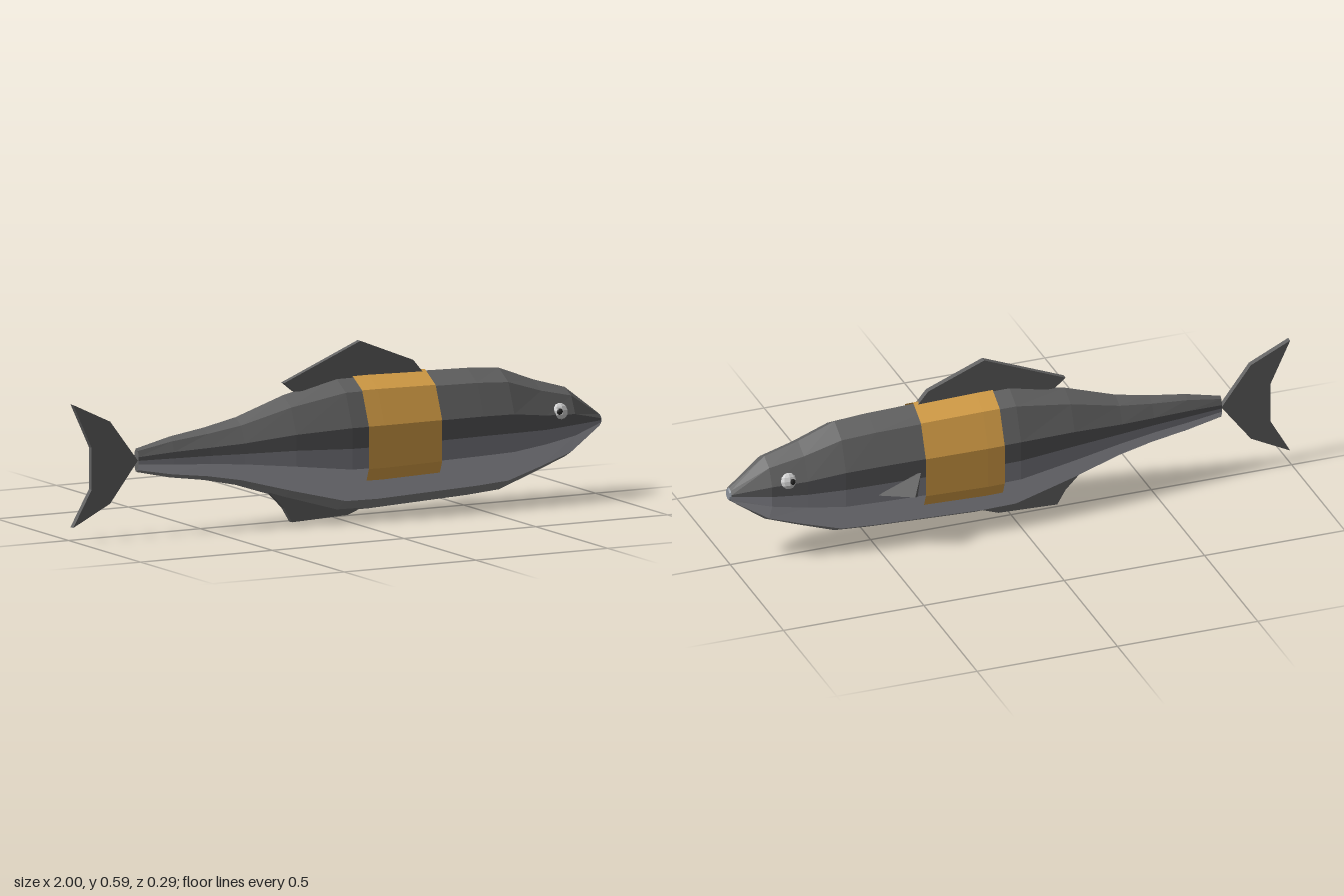
import * as THREE from 'three';
import { ConvexGeometry } from 'three/addons/geometries/ConvexGeometry.js';

const MID_Z = 0.023;
// body stations: x, top, bottom, half width
const STATIONS = [
  [-0.755, 0.295, 0.215, 0.016], [-0.63, 0.325, 0.187, 0.033], [-0.5, 0.345, 0.168, 0.05],
  [-0.38, 0.37, 0.142, 0.068], [-0.2, 0.43, 0.083, 0.096], [0, 0.476, 0.024, 0.118],
  [0.12, 0.476, 0.022, 0.119], [0.5, 0.467, 0.038, 0.113], [0.62, 0.458, 0.047, 0.109],
  [0.75, 0.408, 0.093, 0.092], [0.87, 0.373, 0.138, 0.074], [0.995, 0.277, 0.23, 0.023],
];

// ten-sided oval, with an extra point halfway down each flank
const ANGLES = [0, 36, 72, 90, 108, 144, 180, 216, 252, 270, 288, 324];

function stationAt(x) {
  const i = Math.max(1, STATIONS.findIndex(s => s[0] >= x));
  const a = STATIONS[i - 1], b = STATIONS[i], t = (x - a[0]) / (b[0] - a[0]);
  return a.map((v, k) => v + (b[k] - v) * t);
}

function ring([x, top, bottom, half], grow = 0) {
  const cy = (top + bottom) / 2, ry = (top - bottom) / 2 + grow;
  return ANGLES.map(deg => {
    const a = THREE.MathUtils.degToRad(deg);
    const s = deg % 180 === 90 ? Math.sin(a) * Math.sin(0.4 * Math.PI) : Math.sin(a);
    return new THREE.Vector3(x, cy + ry * Math.cos(a), MID_Z + (half / 0.951 + grow) * s);
  });
}

// joins two rows of points with outward-facing quads
function strip(rows, columns) {
  const pos = [];
  for (let s = 0; s < rows.length - 1; s++) {
    for (const [i, j] of columns) {
      const a = rows[s][i], b = rows[s + 1][i], c = rows[s + 1][j], d = rows[s][j];
      for (const p of [d, c, b, d, b, a]) pos.push(p.x, p.y, p.z);
    }
  }
  const g = new THREE.BufferGeometry();
  g.setAttribute('position', new THREE.Float32BufferAttribute(pos, 3));
  g.computeVertexNormals();
  return g;
}

export function createModel() {
  const group = new THREE.Group();
  const material = (name, color) => {
    const m = new THREE.MeshStandardMaterial({ color, flatShading: true, side: THREE.DoubleSide });
    m.name = name;
    return m;
  };
  const back = material('back grey', 0x636363);
  const flank = material('dark flank grey', 0x565658);
  const side = material('mid side grey', 0x7c7c83);
  const belly = material('pale belly grey', 0xb8b8c0);
  const keel = material('underside grey', 0x888888);
  const orange = material('orange band', 0xd8a047);
  const fin = material('fin grey', 0x626262);
  const nose = material('nose grey', 0x8a9098);
  const white = material('eye white', 0xd0d0d0);
  const dark = material('pupil dark', 0x2a2a2a);

  const add = (name, geometry, mat, x = 0, y = 0, z = 0) => {
    const mesh = new THREE.Mesh(geometry, mat);
    mesh.name = name;
    mesh.position.set(x, y, z);
    group.add(mesh);
    return mesh;
  };

  // body, divided lengthwise into its colour bands
  const rows = STATIONS.map(s => ring(s));
  add('back', strip(rows, [[0, 1], [1, 2], [10, 11], [11, 0]]), back);
  add('upperFlanks', strip(rows, [[2, 3], [9, 10]]), flank);
  add('lowerFlanks', strip(rows, [[3, 4], [8, 9]]), side);
  add('belly', strip(rows, [[4, 5], [7, 8]]), belly);
  add('underside', strip(rows, [[5, 6], [6, 7]]), keel);

  // rounded nose and the closed tail stump
  const noseTip = add('nose', new THREE.CylinderGeometry(0.019, 0.024, 0.008, 10), nose, 0.996, 0.2535, MID_Z);
  noseTip.rotation.z = -Math.PI / 2;
  const stump = add('tailStump', new THREE.CircleGeometry(1, 10), back, -0.755, 0.255, MID_Z);
  stump.rotation.y = -Math.PI / 2;
  stump.scale.set(0.016, 0.04, 1);

  // orange saddle lying just over the back and sides
  const saddleRows = [0.06, 0.12, 0.34].map(x => {
    const r = ring(stationAt(x), 0.005);
    r[5].lerpVectors(r[4], r[5], 0.36);
    r[7].lerpVectors(r[8], r[7], 0.36);
    return r;
  });
  add('saddleBand', strip(saddleRows, [[0, 1], [1, 2], [2, 3], [3, 4], [4, 5],
    [7, 8], [8, 9], [9, 10], [10, 11], [11, 0]]), orange);

  // flat upright fins
  const flatFin = (name, points) => {
    const shape = new THREE.Shape(points.map(p => new THREE.Vector2(...p)));
    const g = new THREE.ExtrudeGeometry(shape, { depth: 0.02, bevelEnabled: false });
    add(name, g, fin, 0, 0, MID_Z - 0.01);
  };
  flatFin('dorsalFin', [[-0.2, 0.472], [0.09, 0.592], [0.29, 0.512], [0.33, 0.465], [0, 0.44], [-0.16, 0.44]]);
  flatFin('ventralFin', [[-0.26, 0.11], [-0.2, 0.05], [-0.17, 0], [0.04, 0.008], [0.1, 0.03], [0, 0.1]]);
  flatFin('tailFin', [[-1, 0.462], [-0.86, 0.395], [-0.755, 0.255], [-0.86, 0.118], [-1, 0.047],
    [-0.93, 0.17], [-0.93, 0.312]]);

  // single pectoral fin on the far side
  add('pectoralFin', new ConvexGeometry([
    [0.51, 0.212, -0.088], [0.36, 0.278, -0.105], [0.37, 0.268, -0.088],
    [0.395, 0.21, -0.143], [0.38, 0.2, -0.125], [0.37, 0.198, -0.088],
  ].map(p => new THREE.Vector3(...p))), fin);

  // eyes
  for (const s of [1, -1]) {
    const eye = add(s > 0 ? 'rightEye' : 'leftEye', new THREE.SphereGeometry(0.028, 8, 6), white,
      0.812, 0.307, MID_Z + s * 0.077);
    eye.scale.z = 0.6;
    eye.rotation.x = -s * 0.3;
    const pupil = add(s > 0 ? 'rightPupil' : 'leftPupil', new THREE.SphereGeometry(0.012, 8, 6), dark,
      0.804, 0.307, MID_Z + s * 0.0895);
    pupil.scale.z = 0.5;
  }
  return group;
}
